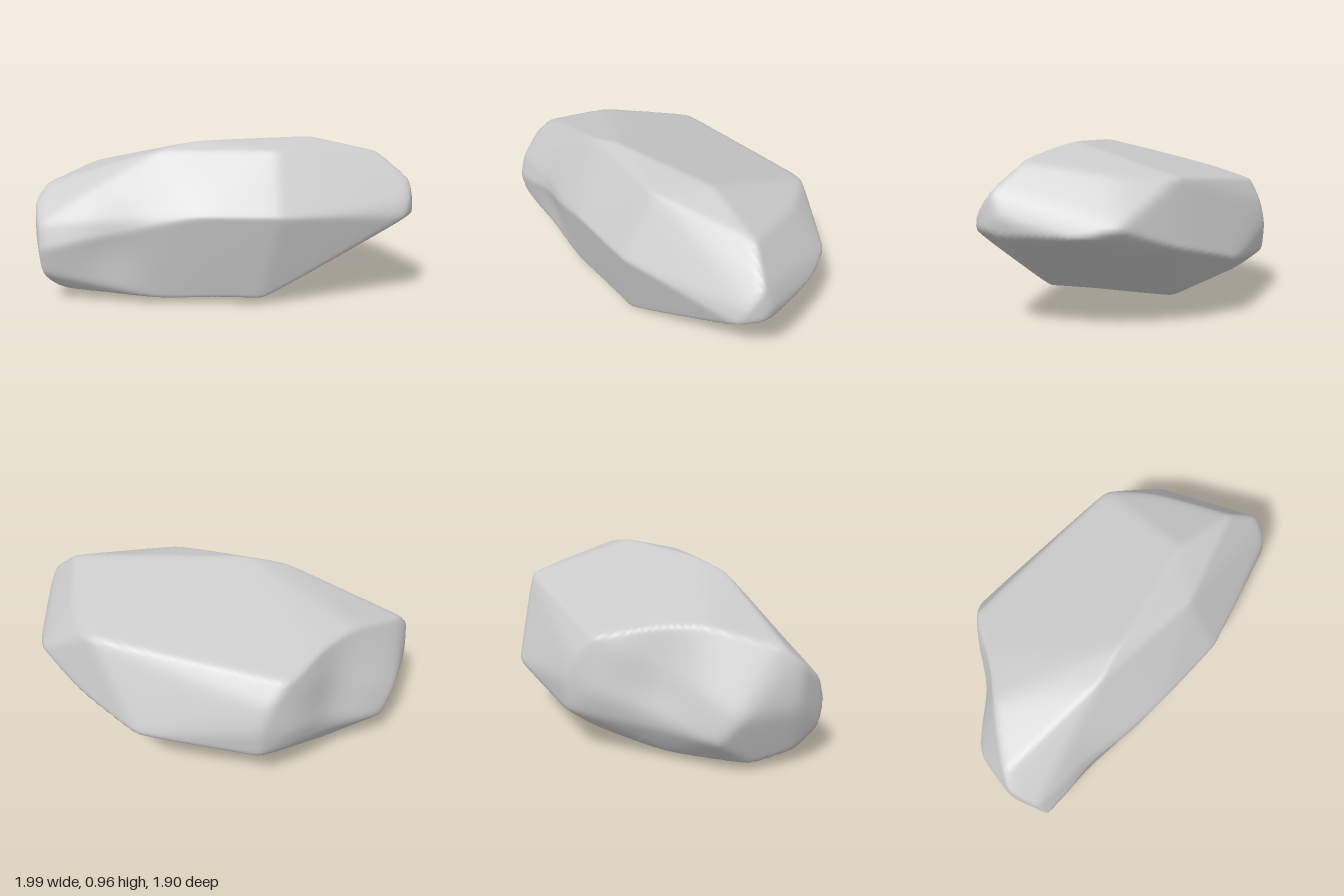
import * as THREE from 'three';
import { mergeVertices } from 'three/addons/utils/BufferGeometryUtils.js';
import { ConvexGeometry } from 'three/addons/geometries/ConvexGeometry.js';

// Main corners of the boulder
const CORNERS = [
  // top
  [-0.2, 0.96, -0.05], [0.36, 0.97, 0.35], [0.03, 0.92, 0.38], [-0.4, 0.91, -0.18],
  [0.58, 0.89, 0.69], [0.8, 0.82, 0.3], [0.87, 0.8, -0.03], [0.6, 0.75, -0.35],
  [0.15, 0.71, -0.88], [-0.12, 0.76, -0.83], [-0.4, 0.78, -0.79], [-0.8, 0.69, -0.75],
  // front tip
  [0.5, 0.53, 0.94], [0.55, 0.63, 0.94], [0.63, 0.54, 0.93], [0.7, 0.61, 0.88],
  [0.69, 0.51, 0.86], [0.64, 0.74, 0.89], [0.45, 0.48, 0.89],
  // left side and its undercut edge
  [1, 0.57, 0.35], [0.93, 0.52, 0.53], [0.94, 0.44, 0], [0.81, 0.34, -0.4],
  // long front face
  [0, 0.57, 0.62], [-0.12, 0.57, 0.54], [-0.43, 0.57, 0.19],
  [-0.1, 0.05, 0.39], [-0.5, 0.05, -0.04], [-0.84, 0.08, -0.54],
  // right end
  [-1, 0.34, -0.56], [-0.98, 0.21, -0.57], [-0.97, 0.49, -0.6], [-0.9, 0.6, -0.73],
  // back
  [-0.62, 0.36, -0.94], [-0.52, 0.22, -0.96], [-0.9, 0.35, -0.75], [-0.66, 0.05, -0.79],
  [-0.86, 0.1, -0.68], [0.15, 0.43, -0.93], [0.33, 0.45, -0.88], [0.28, 0.58, -0.88],
  [0.32, 0.28, -0.87],
  // lower back edge
  [-0.2, 0.05, -0.78], [0, 0.05, -0.68], [0.2, 0.14, -0.75],
  // underside
  [0.16, 0, -0.33], [0.34, 0.04, -0.25], [-0.47, 0.02, -0.45],
];
// Shallow hollows: place, radius in x, y and z, and push
const HOLLOWS = [
  { at: [-0.2, 0.48, -0.92], size: [0.22, 0.3, 0.3], push: [0, 0, 0.06] }, // back
  { at: [-0.75, 0.36, -0.24], size: [0.18, 0.25, 0.2], push: [0.027, 0, -0.022] }, // front face
  { at: [-0.15, 0, -0.1], size: [0.25, 0.3, 0.4], push: [0, 0.03, 0] }, // underside
].map(({ at, size, push }) => ({
  at: new THREE.Vector3(...at), size: new THREE.Vector3(...size), push: new THREE.Vector3(...push),
}));
const CENTRE = new THREE.Vector3(0, 0.5, 0);
const SHARPNESS = 120;

// Facet planes of the hull, as normals divided by their distance from the centre
function facetPlanes() {
  const hull = new ConvexGeometry(CORNERS.map((c) => new THREE.Vector3(...c).sub(CENTRE)));
  const pos = hull.attributes.position;
  const planes = [];
  for (let i = 0; i < pos.count; i += 3) {
    const [a, b, c] = [0, 1, 2].map((k) => new THREE.Vector3().fromBufferAttribute(pos, i + k));
    const plane = new THREE.Plane().setFromCoplanarPoints(a, b, c);
    const distance = Math.abs(plane.constant);
    if (distance > 0.01) planes.push(plane.normal.clone().divideScalar(distance));
  }
  return planes;
}

function boulderGeometry() {
  const planes = facetPlanes();
  let geometry = new THREE.IcosahedronGeometry(1, 50);
  geometry.deleteAttribute('normal');
  geometry.deleteAttribute('uv');
  geometry = mergeVertices(geometry, 1e-5);
  const pos = geometry.attributes.position;
  const p = new THREE.Vector3();
  const offset = new THREE.Vector3();
  for (let i = 0; i < pos.count; i++) {
    p.fromBufferAttribute(pos, i).normalize();
    // Soft maximum over the facets rounds the edges between them
    const dots = planes.map((n) => n.dot(p));
    const most = Math.max(...dots);
    const sum = dots.reduce((s, d) => s + (d > 0 ? Math.pow(d / most, SHARPNESS) : 0), 0);
    p.multiplyScalar(1.01 / (most * Math.pow(sum, 1 / SHARPNESS))).add(CENTRE);
    for (const { at, size, push } of HOLLOWS) {
      p.addScaledVector(push, Math.exp(-offset.subVectors(p, at).divide(size).lengthSq()));
    }
    pos.setXYZ(i, p.x, Math.max(0, p.y), p.z);
  }
  geometry.computeVertexNormals();
  return geometry;
}

export function createModel() {
  const group = new THREE.Group();
  group.name = 'rock';
  const boulder = new THREE.Mesh(boulderGeometry(), new THREE.MeshStandardMaterial({ color: 0xcccccc }));
  boulder.name = 'boulder';
  group.add(boulder);
  return group;
}
